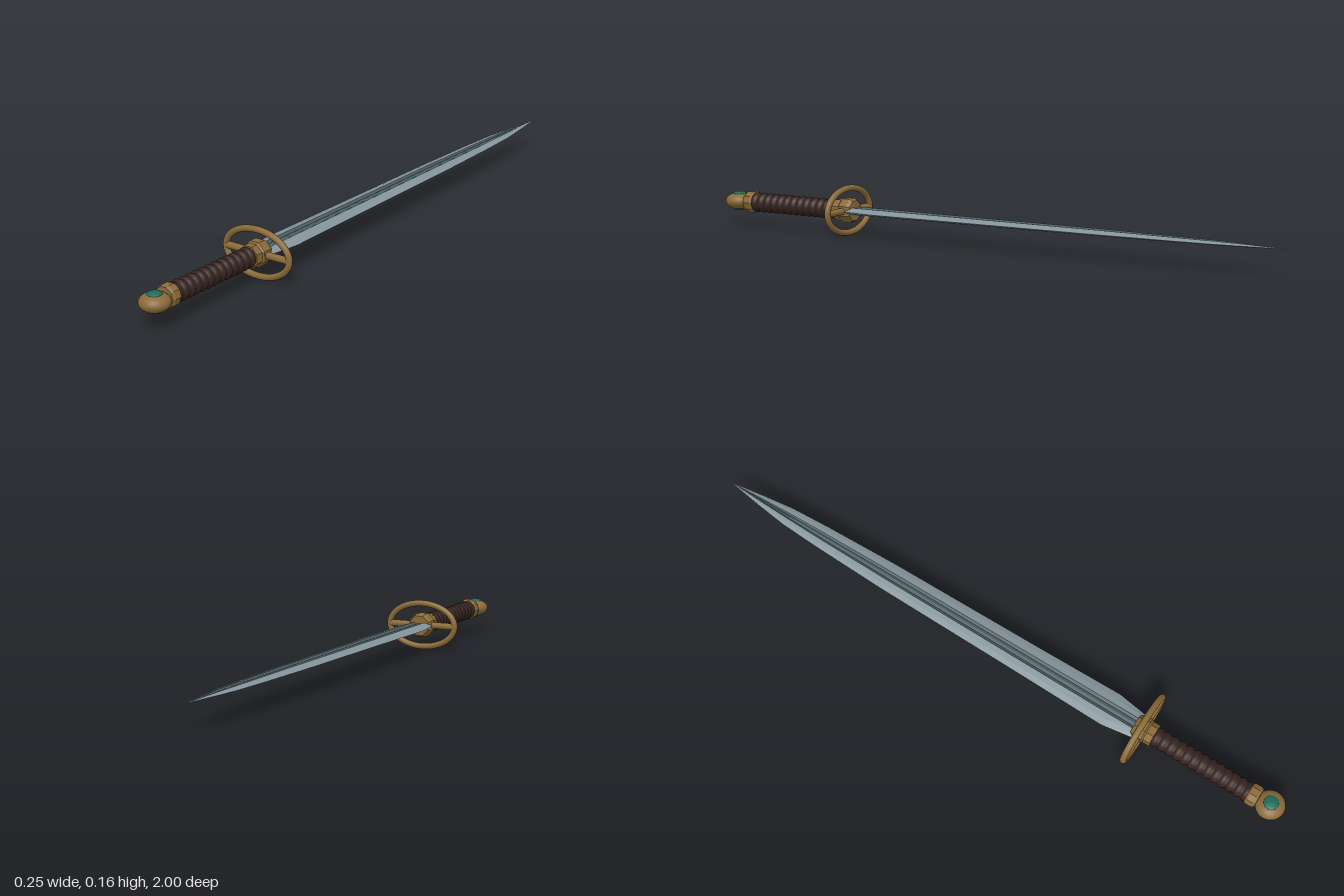
import * as THREE from 'three';

const CY = 0.081; // height of the sword's axis

const mat = (color, flatShading = false, side = THREE.FrontSide) =>
  new THREE.MeshStandardMaterial({ color, flatShading, side });

// Lathe whose axis runs along z; profile points are [radius, z]
function latheZ(profile, segments, phase = 0) {
  const g = new THREE.LatheGeometry(profile.map(([r, z]) => new THREE.Vector2(r, z)), segments, phase);
  return g.rotateX(Math.PI / 2);
}

// Strip surface through a row of cross-sections
function loft(sections) {
  const n = sections[0].length, index = [];
  for (let i = 0; i < sections.length - 1; i++) {
    for (let j = 0; j < n - 1; j++) {
      const a = i * n + j, b = a + 1, c = a + n, d = c + 1;
      index.push(a, b, c, b, d, c);
    }
  }
  const g = new THREE.BufferGeometry();
  g.setAttribute('position', new THREE.Float32BufferAttribute(sections.flat(2), 3));
  g.setIndex(index);
  const flat = g.toNonIndexed();
  flat.computeVertexNormals();
  return flat;
}

export function createModel() {
  const sword = new THREE.Group();
  sword.name = 'sword';
  const brass = mat(0x8a6a38);
  const brassFlat = mat(0x8a6a38, true);
  const leather = mat(0x35231f);
  const steel = mat(0x84949a, true, THREE.DoubleSide);
  const darkSteel = mat(0x4c5e63, true, THREE.DoubleSide);
  const green = mat(0x1c6b57);

  const add = (name, geometry, material, y = CY, z = 0) => {
    const m = new THREE.Mesh(geometry, material);
    m.name = name;
    m.position.set(0, y, z);
    sword.add(m);
    return m;
  };

  // Blade stations: z, half width, half thickness, fuller half width
  const stations = [
    [0.5, 0.042, 0.011, 0.018], [0.4, 0.057, 0.011, 0.018], [0.1, 0.052, 0.01, 0.017],
    [-0.4, 0.046, 0.009, 0.015], [-0.65, 0.038, 0.007, 0.012], [-0.78, 0.031, 0.006, 0.009],
    [-0.88, 0.018, 0.004, 0.005], [-1, 0, 0, 0],
  ];
  for (const s of [1, -1]) {
    const face = s > 0 ? 'upper' : 'lower';
    // the lower face is the upper one turned half round the axis
    const turn = (m) => { m.rotation.z = s > 0 ? 0 : Math.PI; };
    turn(add(face + 'LeftBevel', loft(stations.map(([z, w, t, f]) =>
      [[f, t, z], [(f + w) / 2, t * 0.65, z], [w, 0, z]])), steel));
    turn(add(face + 'RightBevel', loft(stations.map(([z, w, t, f]) =>
      [[-w, 0, z], [-(f + w) / 2, t * 0.65, z], [-f, t, z]])), steel));
    turn(add(face + 'Fuller', loft(stations.map(([z, , t, f]) =>
      [[-f, t, z], [-f * 0.5, t * 0.5, z], [0, t * 0.75, z], [f * 0.5, t * 0.5, z], [f, t, z]])), darkSteel));
  }

  // Guard: oval ring with a crossbar
  class Oval extends THREE.Curve {
    getPoint(t, target = new THREE.Vector3()) {
      const a = t * Math.PI * 2;
      return target.set(0.115 * Math.cos(a), 0.071 * Math.sin(a), 0);
    }
  }
  add('guardRing', new THREE.TubeGeometry(new Oval(), 64, 0.01, 12, true), brass, CY, 0.513);
  add('guardBar', new THREE.CylinderGeometry(0.011, 0.011, 0.226, 16).rotateZ(Math.PI / 2), brass, CY, 0.513);

  // Faceted collar between guard and grip
  add('guardCollar', latheZ([[0, 0.488], [0.034, 0.488], [0.041, 0.5], [0.041, 0.527],
    [0.036, 0.532], [0.036, 0.556], [0, 0.556]], 8, Math.PI / 8), brassFlat);

  // Leather grip with wound ridges
  const grip = [], wraps = 13, z0 = 0.55, z1 = 0.89;
  for (let i = 0; i <= wraps * 6; i++) {
    const t = i / (wraps * 6);
    const ridge = Math.abs(Math.sin(t * wraps * Math.PI));
    grip.push([0.026 + 0.006 * ridge, z0 + (z1 - z0) * t]);
  }
  add('grip', latheZ(grip, 20), leather);

  // Collar before the pommel
  add('pommelCollar', latheZ([[0, 0.882], [0.033, 0.882], [0.036, 0.888], [0.036, 0.908],
    [0.032, 0.916], [0, 0.916]], 10, Math.PI / 10), brassFlat);

  // Flattened pommel with an inlaid stone on both faces
  add('pommel', new THREE.SphereGeometry(1, 28, 18).scale(0.046, 0.028, 0.046), brass, CY, 0.954);
  for (const s of [1, -1]) {
    const gem = new THREE.SphereGeometry(1, 20, 12).scale(0.023, 0.008, 0.023);
    add(s > 0 ? 'upperGem' : 'lowerGem', gem, green, CY + s * 0.0235, 0.954);
  }
  return sword;
}
